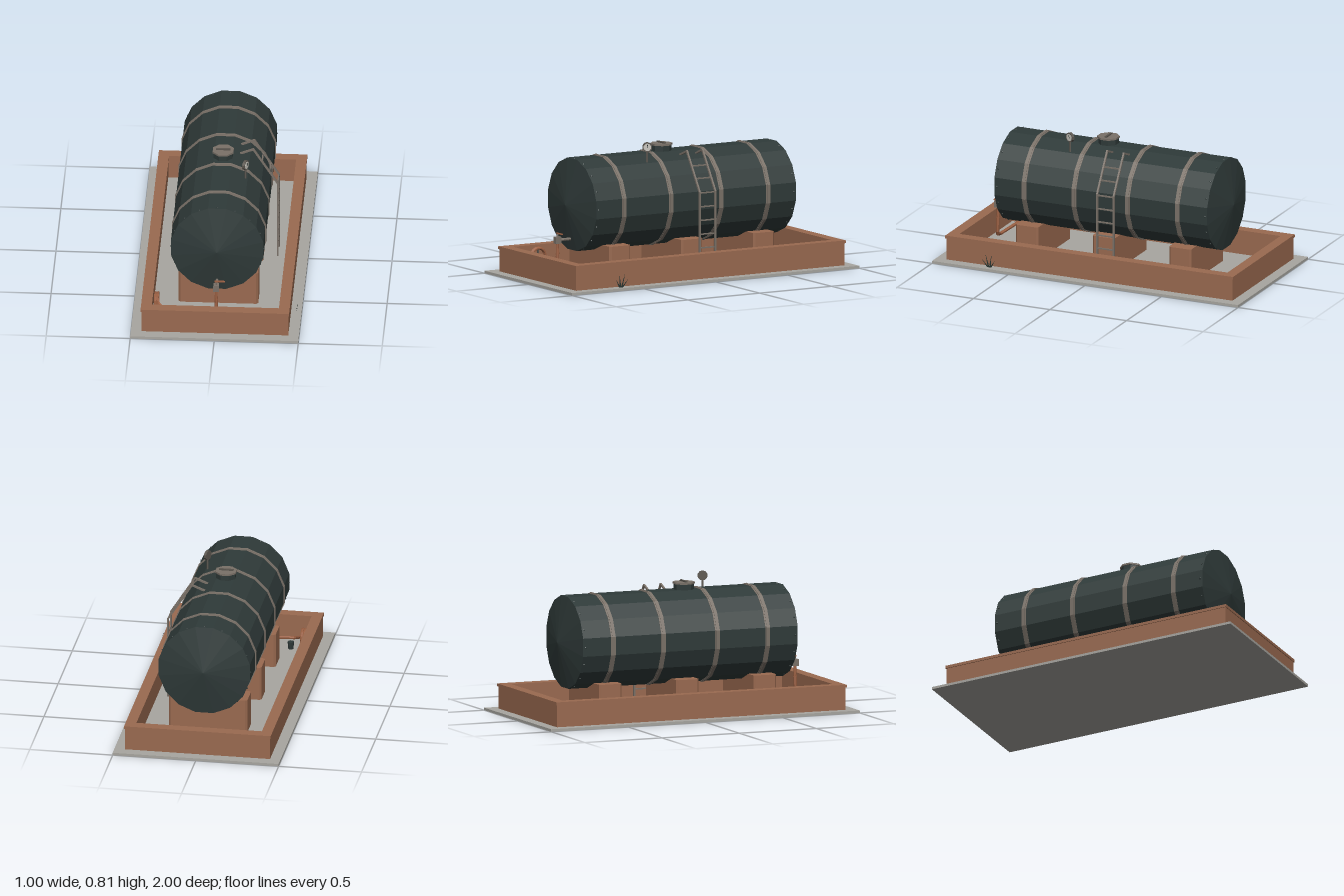
import * as THREE from 'three';

const mat = (name, color, double) => {
  const m = new THREE.MeshStandardMaterial({ color, flatShading: true });
  m.name = name;
  if (double) m.side = THREE.DoubleSide;
  return m;
};
const V = (x, y, z) => new THREE.Vector3(x, y, z);

export function createModel() {
  const tankPaint = mat('tank paint', 0x2f3a39);
  const brick = mat('brick', 0x9a6a50);
  const concrete = mat('concrete', 0xa8a6a0);
  const steel = mat('steel', 0x7a7168);
  const darkSteel = mat('dark steel', 0x5c5750);
  const copper = mat('copper', 0x9a5f42);
  const dialWhite = mat('dial white', 0xc9c6be);
  const grassGreen = mat('grass', 0x2c3a36, true);

  const root = new THREE.Group();
  root.name = 'storageTank';
  const add = (name, geo, m, parent = root) => {
    const mesh = new THREE.Mesh(geo, m);
    mesh.name = name;
    parent.add(mesh);
    return mesh;
  };
  const group = (name, parent = root) => {
    const g = new THREE.Group();
    g.name = name;
    parent.add(g);
    return g;
  };
  const box = (name, w, h, d, x, y, z, m, parent) =>
    add(name, new THREE.BoxGeometry(w, h, d).translate(x, y, z), m, parent);
  // square bar between two points
  const bar = (name, a, b, t, m, parent) => {
    const mesh = add(name, new THREE.BoxGeometry(t, t, a.distanceTo(b) + t * 0.5), m, parent);
    mesh.position.copy(a).add(b).multiplyScalar(0.5);
    mesh.lookAt(b);
    return mesh;
  };
  // upright prism with flat sides on the axes
  const prism = (name, rTop, rBottom, y0, y1, x, z, n, m, parent) =>
    add(name, new THREE.CylinderGeometry(rTop, rBottom, y1 - y0, n, 1, false, Math.PI / n)
      .translate(x, (y0 + y1) / 2, z), m, parent);
  const tube = (name, pts, r, n, m, parent) => {
    const path = new THREE.CurvePath();
    for (let i = 1; i < pts.length; i++) path.add(new THREE.LineCurve3(pts[i - 1], pts[i]));
    return add(name, new THREE.TubeGeometry(path, pts.length * 5, r, n), m, parent);
  };

  // ground slab and brick containment wall
  box('groundSlab', 1, 0.015, 2, 0, 0.0075, 0, concrete);
  const frame = (name, w, l, iw, il, y0, y1) => {
    const rect = (C, a, b) => new C([[-a, -b], [a, -b], [a, b], [-a, b]].map(p => new THREE.Vector2(...p)));
    const s = rect(THREE.Shape, w, l);
    s.holes.push(rect(THREE.Path, iw, il));
    add(name, new THREE.ExtrudeGeometry(s, { depth: y1 - y0, bevelEnabled: false })
      .rotateX(-Math.PI / 2).translate(0, y0, 0), brick);
  };
  frame('containmentWall', 0.437, 0.935, 0.383, 0.88, 0.015, 0.15);
  frame('wallCap', 0.442, 0.94, 0.378, 0.875, 0.148, 0.165);

  // saddle blocks with chamfered upright edges
  for (const z of [0.502, 0.002, -0.498]) {
    const a = 0.237, b = 0.073, c = 0.012;
    const s = new THREE.Shape([[a, -b + c], [a, b - c], [a - c, b], [-a + c, b],
      [-a, b - c], [-a, -b + c], [-a + c, -b], [a - c, -b]].map(p => new THREE.Vector2(...p)));
    add('saddleBlock', new THREE.ExtrudeGeometry(s, { depth: 0.207, bevelEnabled: false })
      .rotateX(-Math.PI / 2).translate(0, 0.015, z), brick);
  }

  // tank shell with conical ends, bands and rivets
  const CY = 0.457, R = 0.28;
  const ring = (name, profile, z, m) => {
    const pts = profile.map(p => new THREE.Vector2(...p));
    return add(name, new THREE.LatheGeometry(pts, 16, Math.PI / 16)
      .rotateX(Math.PI / 2).translate(0, CY, z), m);
  };
  ring('tankShell', [[0, -0.745], [R, -0.695], [R, 0.695], [0, 0.745]], 0, tankPaint);
  for (const z of [-0.5, -0.175, 0.175, 0.5]) {
    ring('tankBand', [[R - 0.01, -0.015], [R + 0.003, -0.015], [R + 0.003, -0.007],
      [R + 0.006, -0.007], [R + 0.006, 0.007], [R + 0.003, 0.007], [R + 0.003, 0.015],
      [R - 0.01, 0.015]], z, steel);
  }
  const rivets = group('rivets');
  for (const z of [-0.68, 0.68]) {
    for (let i = 0; i < 16; i++) {
      const a = i * Math.PI / 8, r = R * Math.cos(Math.PI / 16);
      add('rivet', new THREE.SphereGeometry(0.006, 6, 4)
        .translate(r * Math.cos(a), CY + r * Math.sin(a), z), tankPaint, rivets);
    }
  }

  // filling hatch
  const hatch = group('hatch');
  prism('hatchNeck', 0.061, 0.061, 0.71, 0.767, 0, 0.075, 8, tankPaint, hatch);
  prism('hatchLid', 0.067, 0.067, 0.765, 0.776, 0, 0.075, 8, steel, hatch);
  box('hatchHandle', 0.084, 0.009, 0.012, 0, 0.78, 0.075, darkSteel, hatch);

  // pressure gauge, dial turned to the side and slightly forward
  const gauge = group('gauge');
  gauge.position.set(0.143, 0, 0.26);
  prism('gaugeStem', 0.006, 0.006, 0.68, 0.765, 0, 0, 6, darkSteel, gauge);
  const dial = group('dial', gauge);
  dial.position.y = 0.784;
  dial.rotation.y = Math.PI * 0.36;
  const disc = (name, r, d, z, m) => add(name,
    new THREE.CylinderGeometry(r, r, d, 10).rotateX(Math.PI / 2).translate(0, 0, z), m, dial);
  disc('dialCase', 0.03, 0.016, 0, darkSteel);
  disc('dialFace', 0.023, 0.002, 0.009, dialWhite);
  bar('dialNeedle', V(-0.005, -0.007, 0.011), V(0.009, 0.014, 0.011), 0.003, tankPaint, dial);

  // ladder reaching over the shoulder of the tank
  const ladder = group('ladder');
  const path = [[0.32, 0.015], [0.32, 0.515], [0.175, 0.743], [0.1, 0.713]];
  for (const z of [0.003, -0.105]) {
    for (let i = 1; i < path.length; i++) {
      bar('ladderRail', V(...path[i - 1], z), V(...path[i], z), 0.011, steel, ladder);
    }
  }
  for (const y of [0.1, 0.18, 0.262, 0.345, 0.427, 0.51, 0.59, 0.66]) {
    const x = y < 0.515 ? 0.32 : 0.32 - (y - 0.515) * 0.636;
    bar('ladderRung', V(x, y, 0.003), V(x, y, -0.105), 0.008, steel, ladder);
  }

  // outlet valve
  const valve = group('valve');
  add('outletPipe', new THREE.CylinderGeometry(0.009, 0.009, 0.1, 8).rotateX(Math.PI / 2)
    .translate(0, 0.25, 0.745), steel, valve);
  box('valveBody', 0.033, 0.04, 0.038, 0, 0.25, 0.797, steel, valve);
  prism('valveStem', 0.005, 0.005, 0.265, 0.292, 0, 0.797, 6, steel, valve);
  box('valveHandle', 0.062, 0.006, 0.012, 0.021, 0.291, 0.797, copper, valve);
  prism('valveSpout', 0.007, 0.011, 0.165, 0.235, 0, 0.797, 8, copper, valve);

  // hose leading to a coil beside the wall
  tube('hose', [V(0, 0.18, 0.797), V(0, 0.06, 0.8), V(-0.08, 0.035, 0.82),
    V(-0.3, 0.06, 0.78), V(-0.36, 0.1, 0.715)], 0.01, 6, copper);
  const coil = group('hoseCoil');
  for (const x of [-0.366, -0.352]) {
    add('coilLoop', new THREE.TorusGeometry(0.047, 0.008, 6, 14).rotateY(Math.PI / 2)
      .translate(x, 0.1, 0.712), copper, coil);
  }
  box('coilSpokeUpright', 0.008, 0.094, 0.008, -0.36, 0.1, 0.712, darkSteel, coil);
  box('coilSpokeLevel', 0.008, 0.008, 0.094, -0.36, 0.1, 0.712, darkSteel, coil);
  prism('bucket', 0.02, 0.016, 0.015, 0.06, -0.28, 0.72, 8, tankPaint);

  // grass tuft at the foot of the wall
  const grass = group('grassTuft');
  for (const [tz, ty] of [[0.685, 0.06], [0.66, 0.092], [0.62, 0.09], [0.598, 0.055]]) {
    const bz = 0.64 + (tz - 0.64) * 0.2, w = 0.006;
    const g = new THREE.BufferGeometry().setFromPoints(
      [V(0.468, 0.015, bz - w), V(0.468, 0.015, bz + w), V(0.481, ty + 0.01, tz)]);
    g.computeVertexNormals();
    add('grassBlade', g, grassGreen, grass);
  }
  return root;
}
